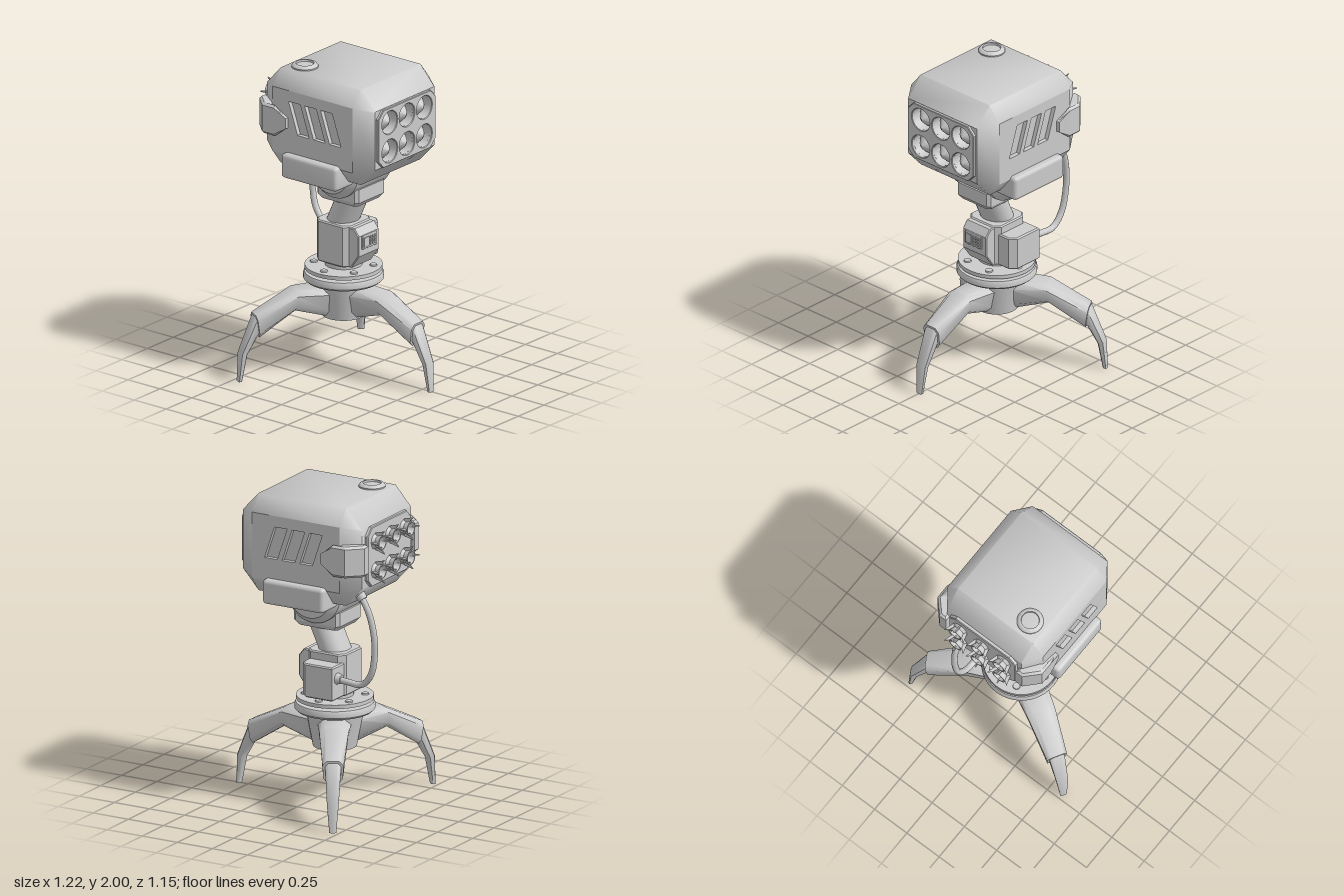
import * as THREE from 'three';
import { toCreasedNormals } from 'three/addons/utils/BufferGeometryUtils.js';
import { RoundedBoxGeometry } from 'three/addons/geometries/RoundedBoxGeometry.js';

const grey = new THREE.MeshStandardMaterial({ color: 0xcccccc });
const greyDouble = new THREE.MeshStandardMaterial({ color: 0xcccccc, side: THREE.DoubleSide });
const CZ = -0.118; // z of the pedestal axis

function add(parent, name, geo, x = 0, y = 0, z = 0, mat = grey) {
  const mesh = new THREE.Mesh(geo, mat);
  mesh.name = name;
  mesh.position.set(x, y, z);
  parent.add(mesh);
  return mesh;
}

// Closed skin over a list of rings, with optional caps and skipped faces
function loft(rings, { start = true, end = true, skip = () => false, crease = 0.9 } = {}) {
  const pos = [], n = rings[0].length, last = rings[rings.length - 1];
  const tri = (...p) => p.forEach(q => pos.push(...q));
  for (let i = 0; i < rings.length - 1; i++) for (let j = 0; j < n; j++) {
    if (skip(i, j)) continue;
    const k = (j + 1) % n, a = rings[i], b = rings[i + 1];
    tri(a[j], a[k], b[k]);
    tri(a[j], b[k], b[j]);
  }
  for (let k = 1; k < n - 1; k++) {
    if (start) tri(rings[0][0], rings[0][k + 1], rings[0][k]);
    if (end) tri(last[0], last[k], last[k + 1]);
  }
  const g = new THREE.BufferGeometry();
  g.setAttribute('position', new THREE.Float32BufferAttribute(pos, 3));
  return toCreasedNormals(g, crease);
}

// Copy reflected in x, with the winding put right
function mirrored(geo) {
  const g = geo.index ? geo.toNonIndexed() : geo.clone();
  g.scale(-1, 1, 1);
  for (const a of Object.values(g.attributes)) {
    const s = a.itemSize;
    for (let t = 0; t < a.count; t += 3) for (let c = 0; c < s; c++) {
      const u = t * s + c, v = (t + 2) * s + c, tmp = a.array[u];
      a.array[u] = a.array[v];
      a.array[v] = tmp;
    }
  }
  g.computeVertexNormals();
  return toCreasedNormals(g, 0.6);
}

function addPair(parent, name, geo) {
  add(parent, name + 'Left', geo);
  add(parent, name + 'Right', mirrored(geo));
}

const octagon = (hx, hy, cx, cy = cx) => [[hx, cy - hy], [hx, hy - cy], [hx - cx, hy], [cx - hx, hy],
  [-hx, hy - cy], [-hx, cy - hy], [cx - hx, -hy], [hx - cx, -hy]];
const shapeOf = pts => new THREE.Shape(pts.map(p => new THREE.Vector2(...p)));
const extrude = (shape, depth, bevel = 0) => new THREE.ExtrudeGeometry(shape, {
  depth: depth - 2 * bevel, bevelEnabled: bevel > 0, bevelSize: bevel, bevelOffset: -bevel,
  bevelThickness: bevel, bevelSegments: 1, curveSegments: 24 }).translate(0, 0, bevel);
// Extrusions of [z, y] points along x and of [x, z] points along y
const extrudeX = (pts, x, w, b) => extrude(shapeOf(pts.map(([z, y]) => [-z, y])), w, b).rotateY(Math.PI / 2).translate(x, 0, 0);
const extrudeY = (pts, y, h, b) => extrude(shapeOf(pts.map(([x, z]) => [x, -z])), h, b).rotateX(-Math.PI / 2).translate(0, y, 0);
const lathe = pts => toCreasedNormals(new THREE.LatheGeometry(pts.map(p => new THREE.Vector2(...p)), 40), 0.6);
const cyl = (r1, r2, h, n = 32, open = false) => new THREE.CylinderGeometry(r1, r2, h, n, 1, open);

function buildHead() {
  const head = new THREE.Group();
  head.name = 'head';
  const cy = 1.665, tubes = [];
  for (const y of [-0.093, 0.092]) for (const x of [-0.168, 0, 0.168]) tubes.push([x, y]);
  const withHoles = shape => {
    tubes.forEach(([x, y]) => shape.holes.push(new THREE.Path().absarc(x, y, 0.073, 0, Math.PI * 2, true)));
    return shape;
  };

  // Chamfered casing; the side faces and the front are left for slotted plates
  const ring = (z, full) => (full ? octagon(0.37, 0.31, 0.08, 0.1) : octagon(0.29, 0.19, 0.004))
    .map(([x, y]) => [x, y + cy, z]);
  add(head, 'casing', loft([ring(-0.485, false), ring(-0.375, true), ring(0.25, true), ring(0.362, false)],
    { end: false, skip: (i, j) => i === 1 && j % 4 === 0 }));
  add(head, 'casingFront', new THREE.ShapeGeometry(withHoles(shapeOf(octagon(0.29, 0.19, 0.004)))), 0, cy, 0.362);

  // Side plates with three slanted vents
  const plate = shapeOf([[-0.25, cy - 0.21], [0.375, cy - 0.21], [0.375, cy + 0.21], [-0.25, cy + 0.21]]);
  for (const s of [-0.16, -0.035, 0.09])
    plate.holes.push(new THREE.Path([[s, 1.6], [s + 0.07, 1.805], [s + 0.16, 1.805], [s + 0.09, 1.6]]
      .map(p => new THREE.Vector2(...p))));
  addPair(head, 'ventPlate', extrude(plate, 0.03).rotateY(Math.PI / 2).translate(0.34, 0, 0));
  addPair(head, 'ventFloor', new THREE.BoxGeometry(0.01, 0.26, 0.5).translate(0.338, 1.7, -0.04));

  // Launch panel and the noses inside its tubes
  add(head, 'launchPanel', extrude(withHoles(shapeOf(octagon(0.278, 0.188, 0.05))), 0.11, 0.004), 0, cy, 0.27);
  const nose = lathe([[0.076, 0], [0.074, 0.02], [0.062, 0.045], [0.036, 0.075], [0, 0.1]]).rotateX(Math.PI / 2);
  tubes.forEach(([x, y]) => add(head, 'rocketNose', nose, x, cy + y, 0.275));

  // Rear panel with finned nozzles
  add(head, 'rearPanel', extrude(shapeOf(octagon(0.256, 0.19, 0.05)), 0.03, 0.005), 0, cy, -0.507);
  const bell = lathe([[0.05, 0], [0.036, 0.02], [0.048, 0.055], [0.04, 0.055], [0.025, 0.015], [0, 0.015]])
    .rotateX(-Math.PI / 2);
  const fin = extrude(shapeOf([[0.03, 0], [0.052, 0], [0.073, 0.07], [0.046, 0.048], [0.03, 0.048]]), 0.008)
    .translate(0, 0, -0.004).rotateX(-Math.PI / 2);
  for (const [x, y] of tubes) {
    const nozzle = new THREE.Group();
    nozzle.name = 'nozzle';
    nozzle.position.set(x, cy + y, -0.505);
    add(nozzle, 'bell', bell, 0, 0, 0, greyDouble);
    for (let i = 0; i < 4; i++) add(nozzle, 'fin', fin).rotation.z = i * Math.PI / 2;
    head.add(nozzle);
  }

  // Guards wrapping the rear corners, tapering toward the front
  const guard = extrudeY([[0.27, -0.52], [0.32, -0.52], [0.405, -0.43], [0.405, -0.34], [0.395, -0.255],
    [0.34, -0.255], [0.34, -0.38], [0.27, -0.46]], -0.1, 0.2, 0.015);
  const p = guard.attributes.position;
  for (let i = 0; i < p.count; i++) if (p.getZ(i) > -0.3) p.setY(i, p.getY(i) * 0.4);
  guard.computeVertexNormals();
  addPair(head, 'cornerGuard', guard.translate(0, cy, 0));

  // Lower side pods
  addPair(head, 'sidePod', new RoundedBoxGeometry(0.19, 0.157, 0.435, 2, 0.025).translate(0.32, 1.394, -0.063));

  // Round hatch on the roof
  add(head, 'hatch', lathe([[0.082, -0.01], [0.082, 0.008], [0.07, 0.022], [0.062, 0.025], [0.056, 0.024],
    [0.054, 0.012], [0, 0.016]]), -0.187, 1.975, -0.27);
  return head;
}

function buildNeck() {
  const neck = new THREE.Group();
  neck.name = 'neck';
  // Tilt drum and its socket
  const drum = lathe([[0, -0.212], [0.15, -0.212], [0.192, -0.165], [0.192, 0.165], [0.15, 0.212], [0, 0.212]]);
  add(neck, 'tiltDrum', drum.rotateZ(Math.PI / 2), 0, 1.355, -0.062);
  const sock = (y, hx, hz) => octagon(hx, hz, 0.02).map(([x, z]) => [x, y, -z - 0.063]);
  add(neck, 'socket', loft([sock(1.12, 0.12, 0.14), sock(1.15, 0.14, 0.163), sock(1.237, 0.14, 0.163)], { crease: 0.5 }));
  // Leaning column: a cylinder sheared back
  const column = cyl(0.107, 0.107, 0.24).applyMatrix4(new THREE.Matrix4().set(
    1, 0, 0, 0, 0, 1, 0, 1.04, 0, 0.45, 0.92, -0.088, 0, 0, 0, 1));
  add(neck, 'column', column);

  // Collar with front housing and side box
  add(neck, 'collar', extrudeY(octagon(0.13, 0.135, 0.04).map(([x, z]) => [x, z + CZ]).reverse(), 0.705, 0.268, 0.008));
  add(neck, 'frontHousing', extrudeX([[-0.02, 0.705], [0.02, 0.705], [0.08, 0.79], [0.08, 0.92], [0.045, 0.965],
    [-0.02, 0.965]], -0.1, 0.2, 0.006));
  add(neck, 'sideBox', extrudeY([[0.095, -0.01], [0.2, -0.01], [0.24, -0.05], [0.24, -0.243], [0.095, -0.243]],
    0.705, 0.215, 0.008));

  // Keypad
  add(neck, 'keypad', new RoundedBoxGeometry(0.136, 0.09, 0.02, 1, 0.005), -0.003, 0.875, 0.08);
  add(neck, 'keypadScreen', new THREE.BoxGeometry(0.045, 0.06, 0.01), -0.038, 0.875, 0.091);
  for (let i = 0; i < 9; i++)
    add(neck, 'key', new THREE.BoxGeometry(0.014, 0.014, 0.01), 0.005 + (i % 3) * 0.021, 0.854 + Math.floor(i / 3) * 0.021, 0.091);

  // Cable from the side box up to the head
  const path = new THREE.CatmullRomCurve3([[0.18, 0.84, -0.22], [0.18, 0.83, -0.32], [0.182, 0.83, -0.42], [0.188, 0.91, -0.49],
    [0.2, 1.1, -0.522], [0.212, 1.27, -0.5], [0.22, 1.37, -0.46], [0.222, 1.43, -0.42]].map(q => new THREE.Vector3(...q)));
  add(neck, 'cable', new THREE.TubeGeometry(path, 48, 0.02, 12));
  add(neck, 'cablePlug', cyl(0.028, 0.038, 0.04, 20).rotateX(-Math.PI / 2), 0.18, 0.84, -0.255);
  add(neck, 'cableSocket', cyl(0.035, 0.028, 0.04, 20).rotateX(0.7), 0.221, 1.405, -0.44);
  return neck;
}

function buildBase() {
  const base = new THREE.Group();
  base.name = 'base';
  base.position.z = CZ;
  // Turntable discs, spindle and hollow hub
  add(base, 'spindle', cyl(0.115, 0.115, 0.14), 0, 0.64, 0);
  add(base, 'upperDisc', cyl(0.238, 0.238, 0.024, 48), 0, 0.663, 0);
  add(base, 'lowerDisc', lathe([[0, 0.578], [0.232, 0.578], [0.247, 0.592], [0.247, 0.62], [0.24, 0.634], [0, 0.634]]));
  for (let i = 0; i < 6; i++) {
    const a = i * Math.PI / 3 + 0.5;
    add(base, 'bolt', cyl(0.022, 0.024, 0.012, 16), Math.sin(a) * 0.185, 0.678, Math.cos(a) * 0.185);
  }
  add(base, 'hub', cyl(0.178, 0.135, 0.23, 32, true), 0, 0.465, 0, greyDouble);

  // Leg section: top (r, y), bottom (r, y), top and bottom half-widths
  const profile = octagon(1, 1, 0.4);
  const section = ([tr, ty, br, by, wt, wb]) => profile.map(([u, v]) => {
    const t = (v + 1) / 2;
    return [u * (wb + (wt - wb) * t), by + (ty - by) * t, br + (tr - br) * t];
  });
  const upper = loft([[0.11, 0.558, 0.1, 0.355, 0.115, 0.062], [0.325, 0.555, 0.335, 0.43, 0.092, 0.08],
    [0.588, 0.425, 0.565, 0.28, 0.066, 0.058]].map(section));
  const lower = loft([[0.56, 0.428, 0.545, 0.3, 0.053, 0.046], [0.59, 0.41, 0.572, 0.288, 0.05, 0.044],
    [0.683, 0.185, 0.637, 0.172, 0.037, 0.034], [0.694, 0, 0.668, 0, 0.022, 0.019]].map(section));
  for (let i = 0; i < 3; i++) {
    const leg = new THREE.Group();
    leg.name = 'leg';
    leg.rotation.y = i * Math.PI * 2 / 3;
    add(leg, 'upperLeg', upper);
    add(leg, 'lowerLeg', lower);
    base.add(leg);
  }
  return base;
}

export function createModel() {
  const model = new THREE.Group();
  model.name = 'launcherTurret';
  model.add(buildHead(), buildNeck(), buildBase());
  return model;
}
